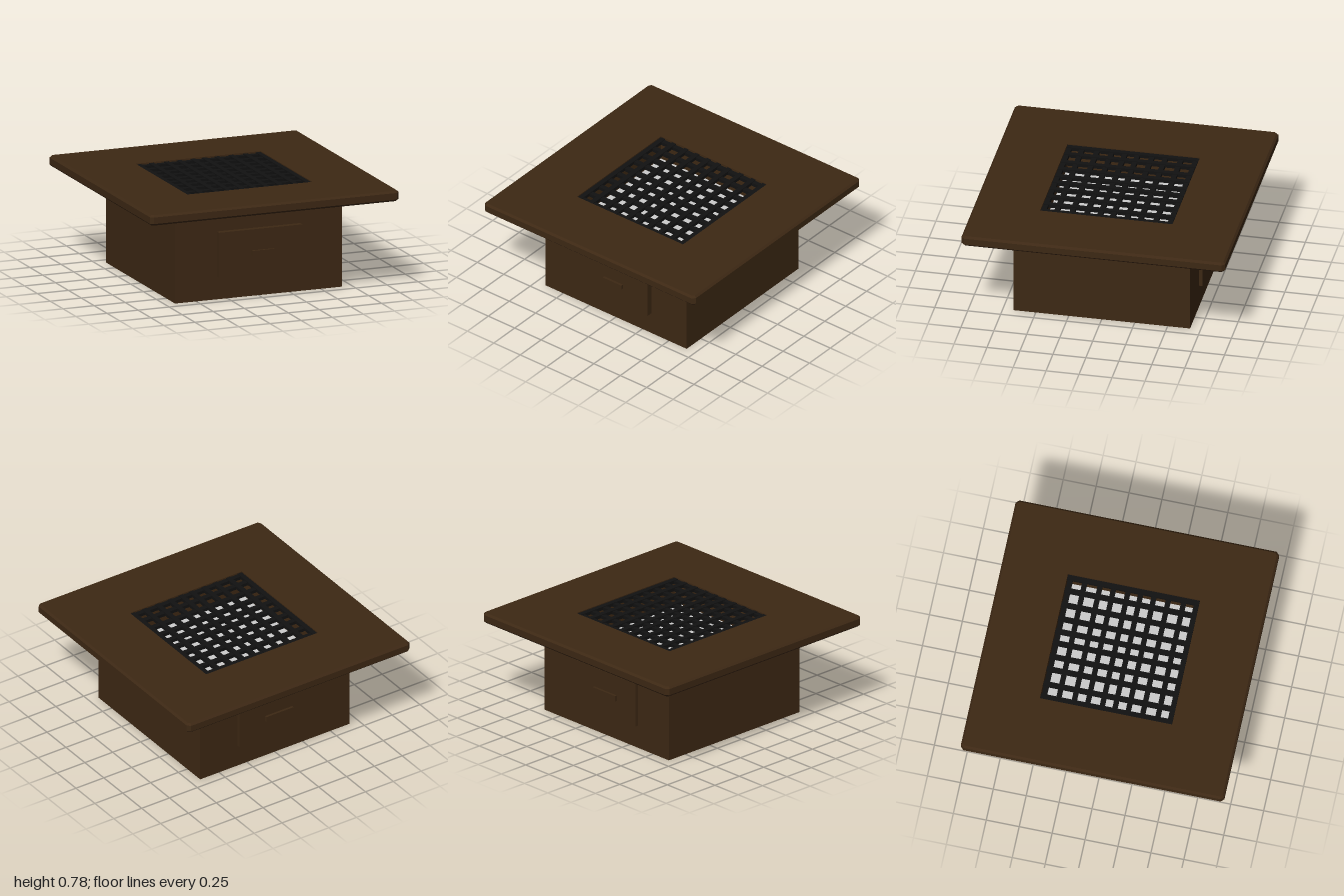
import * as THREE from 'three';

const wood = new THREE.MeshStandardMaterial({ color: 0x3d2814 });
const iron = new THREE.MeshStandardMaterial({ color: 0x111111 });
const ash = new THREE.MeshStandardMaterial({ color: 0xcccccc });
const PIT = 0.502; // half width of the fire pit

// Box given by its lower and upper corners
function box(name, material, [x0, y0, z0], [x1, y1, z1]) {
  const mesh = new THREE.Mesh(new THREE.BoxGeometry(x1 - x0, y1 - y0, z1 - z0), material);
  mesh.position.set((x0 + x1) / 2, (y0 + y1) / 2, (z0 + z1) / 2);
  mesh.name = name;
  return mesh;
}

// Square outline with cut corners and the square pit opening
function squareWithPit(half, cut) {
  const inner = half - cut;
  const points = [];
  for (const [sx, sy] of [[1, 1], [-1, 1], [-1, -1], [1, -1]]) {
    const corner = [[half * sx, inner * sy], [inner * sx, half * sy]];
    if (sx * sy < 0) corner.reverse();
    points.push(...(cut ? corner : [corner[0].map(Math.sign).map((s) => s * half)]));
  }
  const shape = new THREE.Shape(points.map((p) => new THREE.Vector2(...p)));
  const hole = [[-PIT, -PIT], [-PIT, PIT], [PIT, PIT], [PIT, -PIT]];
  shape.holes.push(new THREE.Path(hole.map((p) => new THREE.Vector2(...p))));
  return shape;
}

// Table top: bevelled on the outside, with the pit opening kept straight
function tableTop() {
  const bevel = 0.015;
  const geometry = new THREE.ExtrudeGeometry(squareWithPit(1 - bevel, 0.015), {
    depth: 0.08 - 2 * bevel, bevelSize: bevel, bevelThickness: bevel, bevelSegments: 1,
  });
  const p = geometry.attributes.position;
  for (let i = 0; i < p.count; i++) {
    if (Math.abs(p.getX(i)) < 0.7 && Math.abs(p.getY(i)) < 0.7) {
      p.setXY(i, Math.sign(p.getX(i)) * PIT, Math.sign(p.getY(i)) * PIT);
    }
  }
  geometry.computeVertexNormals();
  geometry.rotateX(-Math.PI / 2);
  const mesh = new THREE.Mesh(geometry, wood);
  mesh.position.y = 0.7 + bevel;
  mesh.name = 'tableTop';
  return mesh;
}

// Hollow body that holds the fire pit
function body() {
  const group = new THREE.Group();
  group.name = 'body';
  const geometry = new THREE.ExtrudeGeometry(squareWithPit(0.67, 0), { depth: 0.7, bevelEnabled: false });
  geometry.rotateX(-Math.PI / 2);
  const walls = new THREE.Mesh(geometry, wood);
  walls.name = 'bodyWalls';
  group.add(walls);
  group.add(box('bodyBottom', wood, [-PIT, 0, -PIT], [PIT, 0.04, PIT]));
  group.add(box('ashBed', ash, [-PIT, 0.04, -PIT], [PIT, 0.58, PIT]));
  return group;
}

// Iron grate of hand-spaced crossing bars
function grate() {
  const group = new THREE.Group();
  group.name = 'grate';
  const w = 0.019;
  const alongZ = [-0.48, -0.377, -0.257, -0.155, -0.045, 0.048, 0.15, 0.262, 0.377, 0.48];
  const alongX = [-0.475, -0.366, -0.249, -0.147, -0.037, 0.059, 0.16, 0.27, 0.385, 0.481];
  for (const x of alongZ) group.add(box('grateBar', iron, [x - w, 0.75, -0.5], [x + w, 0.775, 0.5]));
  for (const z of alongX) group.add(box('grateCrossBar', iron, [-0.5, 0.745, z - w], [0.5, 0.77, z + w]));
  return group;
}

// Drawer front with a bar handle
function drawer(name, side, face, handle) {
  const group = new THREE.Group();
  group.name = name;
  const slab = (part, x0, y0, x1, y1, z) =>
    box(part, wood, [x0, y0, Math.min(side * 0.65, side * z)], [x1, y1, Math.max(side * 0.65, side * z)]);
  group.add(slab('drawerFront', -0.335, 0.177, 0.335, 0.52, face));
  group.add(slab('drawerHandle', ...handle, face + 0.019));
  return group;
}

export function createModel() {
  const model = new THREE.Group();
  model.name = 'fireTable';
  model.add(tableTop(), body(), grate());
  model.add(drawer('frontDrawer', 1, 0.715, [-0.075, 0.325, 0.102, 0.36]));
  model.add(drawer('backDrawer', -1, 0.695, [-0.138, 0.325, 0.105, 0.367]));
  return model;
}
